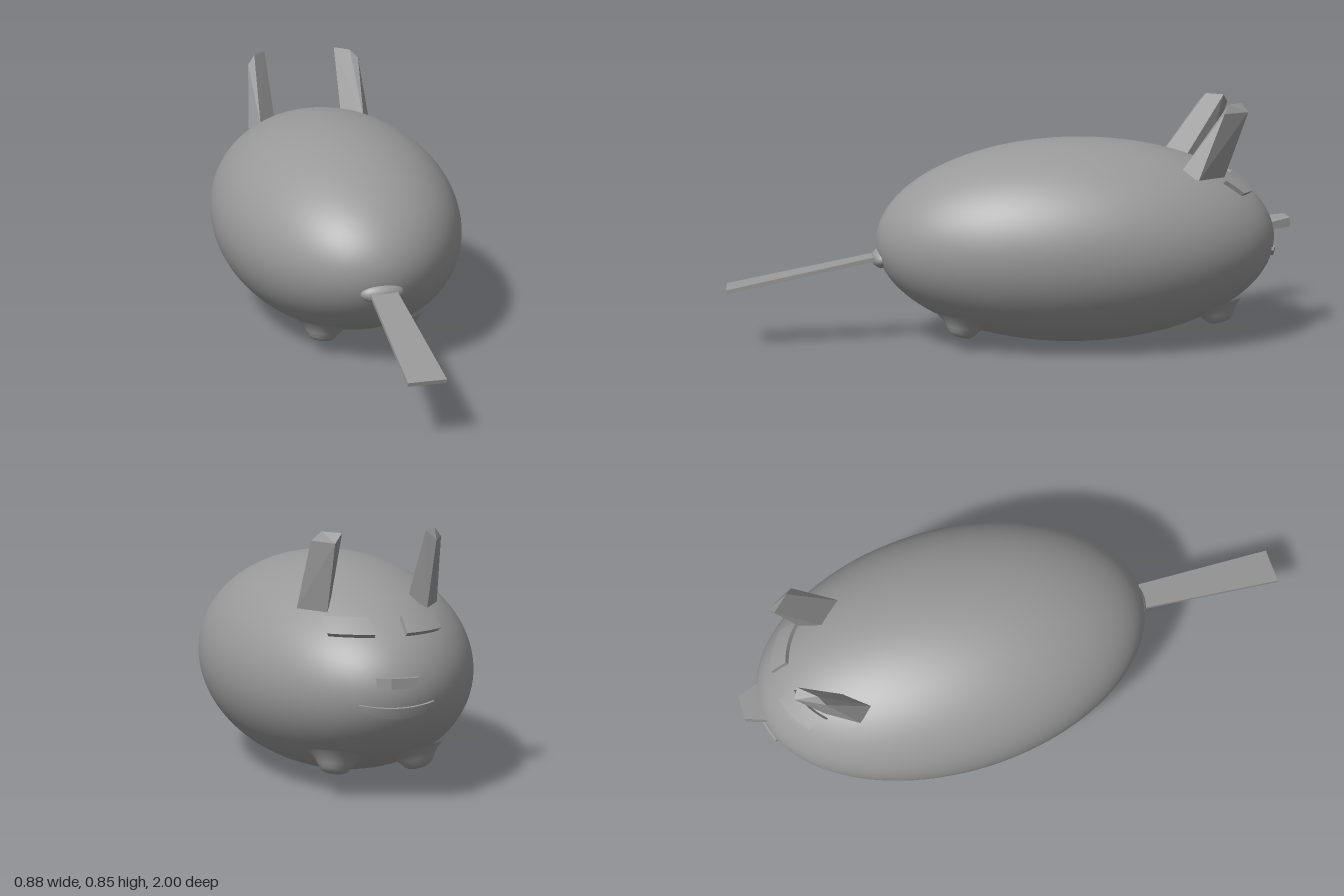
import * as THREE from 'three';
import { ConvexGeometry } from 'three/addons/geometries/ConvexGeometry.js';

const CENTER = new THREE.Vector3(0, 0.364, -0.235);
const RADII = new THREE.Vector3(0.439, 0.36, 0.71);

// Depth of the body's face surface (the head points to -z) at a given x, y
function faceZ(x, y) {
  const u = x / RADII.x;
  const v = (y - CENTER.y) / RADII.y;
  return CENTER.z - RADII.z * Math.sqrt(Math.max(0, 1 - u * u - v * v));
}

// Height of the belly surface at a given x, z
function bellyY(x, z) {
  const u = x / RADII.x;
  const w = (z - CENTER.z) / RADII.z;
  return CENTER.y - RADII.y * Math.sqrt(1 - u * u - w * w);
}

function bodyNormal(p) {
  return p.clone().sub(CENTER).divide(RADII).divide(RADII).normalize();
}

// Plate that follows the face, raised by lift; shape(t) gives [middle y, height] for t in -1..1
function facePlate(cx, width, lift, shape) {
  const geo = new THREE.BoxGeometry(2, 1, 1, 12, 2, 1);
  const pos = geo.attributes.position;
  for (let i = 0; i < pos.count; i++) {
    const t = -pos.getX(i);
    const [mid, height] = shape(t);
    const x = cx + t * width / 2;
    const y = mid + pos.getY(i) * height;
    const p = new THREE.Vector3(x, y, faceZ(x, y));
    p.addScaledVector(bodyNormal(p), pos.getZ(i) > 0 ? lift : -0.02);
    pos.setXYZ(i, p.x, p.y, p.z);
  }
  geo.computeVertexNormals();
  return geo;
}

// Solid block from its corner points
function block(points) {
  return new ConvexGeometry(points.map((p) => new THREE.Vector3(...p)));
}

export function createModel() {
  const group = new THREE.Group();
  const grey = new THREE.MeshStandardMaterial({ color: 0x999999 });
  grey.name = 'grey';

  const add = (name, geo) => {
    const mesh = new THREE.Mesh(geo, grey);
    mesh.name = name;
    group.add(mesh);
    return mesh;
  };

  // Egg-shaped body
  const body = add('body', new THREE.SphereGeometry(1, 96, 64));
  body.scale.copy(RADII);
  body.position.copy(CENTER);

  // Foot outline: flat sole flaring into the belly
  const footProfile = [[0.095, -0.014], [0.072, 0.002], [0.057, 0.02], [0.046, 0.036], [0.034, 0.045], [0.016, 0.049], [0, 0.05]]
    .map(([r, h]) => new THREE.Vector2(r, h));
  const footGeo = new THREE.LatheGeometry(footProfile, 24);

  for (const [side, s] of [['left', 1], ['right', -1]]) {
    // Upright ears, leaning back, with a slanted section
    add(side + 'Ear', block([
      [s * 0.13, 0.62, -0.645], [s * 0.2, 0.62, -0.565], [s * 0.236, 0.6, -0.625], [s * 0.166, 0.6, -0.73],
      [s * 0.137, 0.856, -0.79], [s * 0.187, 0.856, -0.735], [s * 0.215, 0.826, -0.715], [s * 0.165, 0.826, -0.81],
    ]));

    // Eyes
    add(side + 'Eye', facePlate(s * 0.115, 0.13, 0.016, () => [0.557, 0.045]));

    // Stubby feet
    for (const [end, x, z] of [['Front', 0.135, -0.72], ['Back', 0.14, 0.18]]) {
      const foot = add(side + end + 'Foot', footGeo);
      foot.position.set(s * x, bellyY(x, z), z);
      const dir = bodyNormal(foot.position).add(new THREE.Vector3(0, -0.6, 0)).normalize();
      foot.quaternion.setFromUnitVectors(new THREE.Vector3(0, 1, 0), dir);
    }
  }

  // Snout
  add('nose', block([-1, 1].flatMap((s) => [
    [s * 0.078, 0.393, -0.9], [s * 0.078, 0.417, -0.9],
    [s * 0.044, 0.399, -1], [s * 0.044, 0.432, -1],
  ])));

  // Smiling mouth
  add('mouth', facePlate(0, 0.24, 0.008, (t) => [0.312 + 0.022 * t * t, 0.034 - 0.022 * t * t]));

  // Flat tail, widening to its tip, and the bump it grows from
  add('tail', block([-1, 1].flatMap((s) => [
    [s * 0.045, 0.312, 0.44], [s * 0.045, 0.327, 0.44],
    [s * 0.063, 0.203, 0.997], [s * 0.063, 0.216, 1],
  ])));
  const base = add('tailBase', new THREE.SphereGeometry(1, 32, 20));
  base.scale.set(0.075, 0.035, 0.035);
  base.position.set(0, 0.309, 0.457);

  return group;
}
